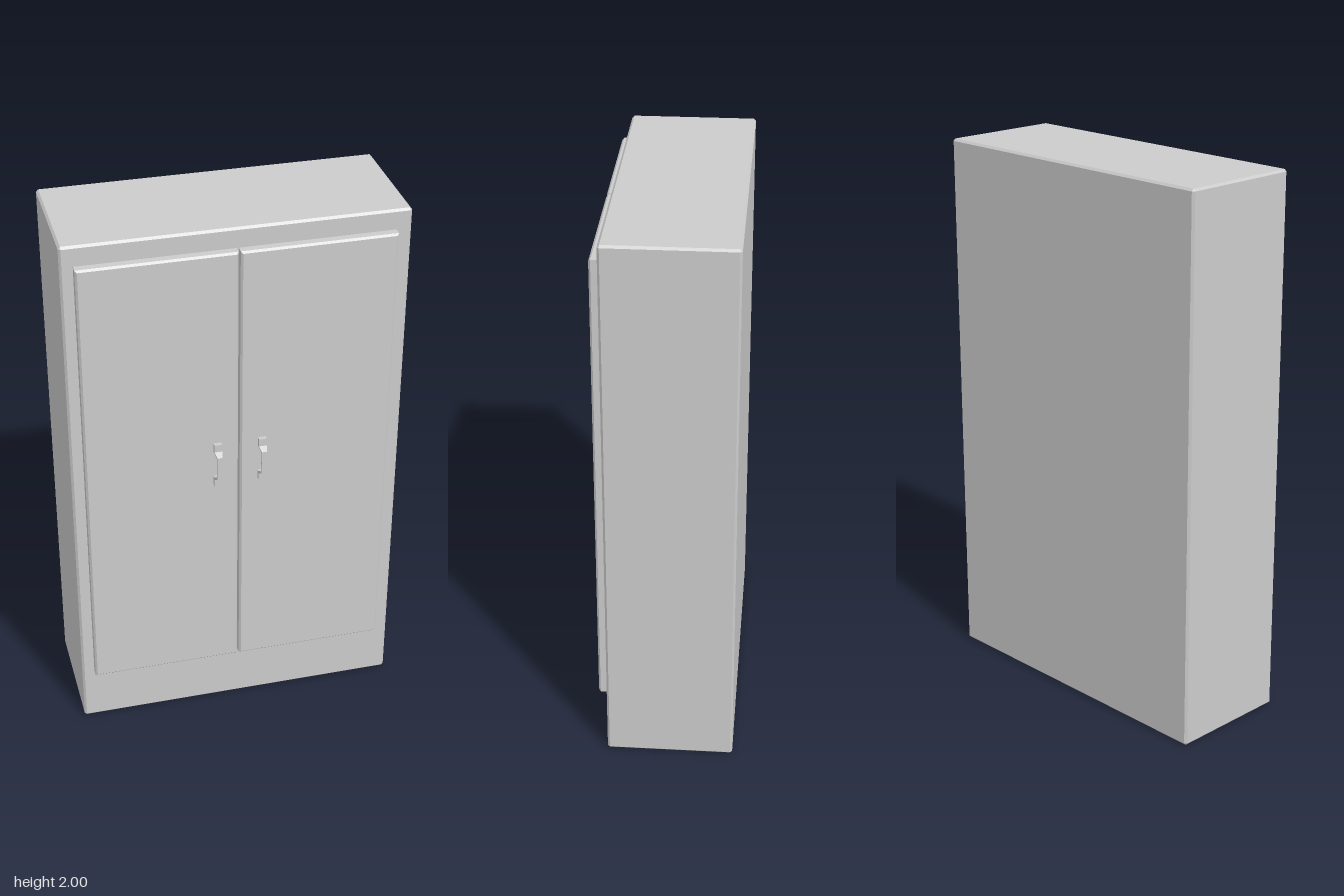
import * as THREE from 'three';
import { ConvexGeometry } from 'three/addons/geometries/ConvexGeometry.js';

const material = new THREE.MeshStandardMaterial({ color: 0xcccccc, flatShading: true });

function addMesh(parent, name, geometry) {
  const mesh = new THREE.Mesh(geometry, material);
  mesh.name = name;
  parent.add(mesh);
  return mesh;
}

// Box with chamfered edges; with frontOnly the back edges stay square.
function chamferBox([x0, x1], [y0, y1], [z0, z1], c, frontOnly = false) {
  const points = [];
  for (const [x, sx] of [[x0, 1], [x1, -1]])
    for (const [y, sy] of [[y0, 1], [y1, -1]])
      for (const [z, sz] of [[z0, 1], [z1, -1]]) {
        if (frontOnly && z === z0) {
          points.push(new THREE.Vector3(x, y, z));
          continue;
        }
        points.push(new THREE.Vector3(x + sx * c, y + sy * c, z));
        points.push(new THREE.Vector3(x, y, z + sz * c));
        if (frontOnly) continue;
        points[points.length - 1].y += sy * c;
        points.push(new THREE.Vector3(x + sx * c, y, z + sz * c));
      }
  return new ConvexGeometry(points);
}

// Bent strap: flat feet joined by a raised, narrower grip; profile is [z, y].
function handleGeometry() {
  const half = [[0, 0.086], [0.018, 0.086], [0.018, 0.058], [0.039, 0.045]];
  const inner = [[0.032, 0.04], [0.011, 0.052], [0, 0.052]];
  const flip = (list) => list.map(([z, y]) => [z, -y]).reverse();
  const outline = [...half, ...flip(half), ...flip(inner), ...inner];
  const shape = new THREE.Shape(outline.map(([z, y]) => new THREE.Vector2(z, y)));
  const width = 0.028;
  const geometry = new THREE.ExtrudeGeometry(shape, { depth: width, bevelEnabled: false });
  geometry.translate(0, 0, -width / 2).rotateY(-Math.PI / 2);
  const p = geometry.attributes.position;
  for (let i = 0; i < p.count; i++) if (p.getZ(i) > 0.025) p.setX(i, p.getX(i) * 0.65);
  geometry.computeVertexNormals();
  return geometry;
}

export function createModel() {
  const group = new THREE.Group();
  group.name = 'cupboard';

  // Carcass
  addMesh(group, 'cabinetBody', chamferBox([-0.6, 0.6], [0, 2], [-0.264, 0.192], 0.008));

  // Doors with their handles
  const handle = handleGeometry();
  for (const [side, x, handleX] of [['right', [-0.555, -0.008], -0.084], ['left', [-0.001, 0.546], 0.077]]) {
    addMesh(group, side + 'Door', chamferBox(x, [0.217, 1.927], [0.19, 0.226], 0.007, true));
    addMesh(group, side + 'Handle', handle).position.set(handleX, 1.106, 0.225);
  }
  return group;
}
